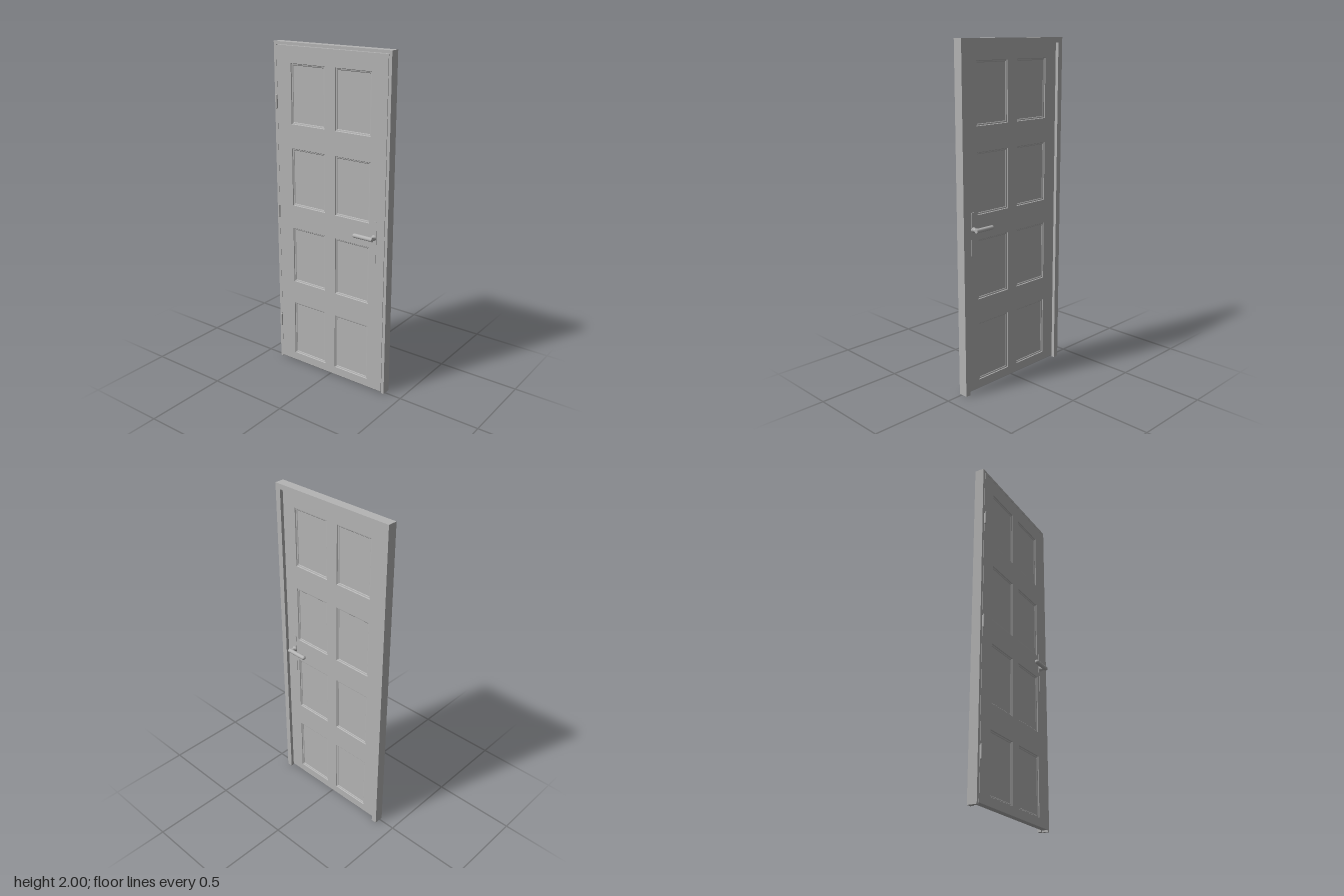
import * as THREE from 'three';

const grey = new THREE.MeshStandardMaterial({ color: 0xb4b4b4 });
grey.name = 'plain grey';

const LEAF_BACK = -0.019, LEAF_FRONT = 0.018, FRAME_FRONT = 0.038;

function add(parent, name, geometry, x = 0, y = 0, z = 0) {
  const mesh = new THREE.Mesh(geometry, grey);
  mesh.name = name;
  mesh.position.set(x, y, z);
  parent.add(mesh);
  return mesh;
}

// Extrudes a shape drawn in the (z, y) plane between two x values
function slab(shape, x0, x1, segments = 12) {
  const g = new THREE.ExtrudeGeometry(shape, { depth: x1 - x0, bevelEnabled: false, curveSegments: segments });
  return g.translate(0, 0, x0).rotateY(Math.PI / 2);
}

// Door surround: two jambs and a head in one outline
function surround(halfOpening, top) {
  const s = new THREE.Shape();
  s.moveTo(-0.395, 0);
  [[-halfOpening, 0], [-halfOpening, top], [halfOpening, top], [halfOpening, 0],
    [0.395, 0], [0.395, 2], [-0.395, 2]].forEach(([u, v]) => s.lineTo(u, v));
  s.closePath();
  return s;
}

// Sunk panel facing +z: moulding rings stepping inward, closed by a flat field
function panelGeometry(w, h) {
  const rings = [[0, 0], [0.003, -0.005], [0.009, -0.006], [0.012, -0.009]].map(([inset, d]) => {
    const a = w / 2 - inset, b = h / 2 - inset;
    return [[-a, -b, d], [a, -b, d], [a, b, d], [-a, b, d]];
  });
  const pos = [];
  const quad = (a, b, c, d) => pos.push(...a, ...b, ...c, ...a, ...c, ...d);
  for (let r = 0; r < rings.length - 1; r++) {
    for (let i = 0; i < 4; i++) {
      const j = (i + 1) % 4;
      quad(rings[r][i], rings[r][j], rings[r + 1][j], rings[r + 1][i]);
    }
  }
  quad(...rings[rings.length - 1]);
  const g = new THREE.BufferGeometry();
  g.setAttribute('position', new THREE.Float32BufferAttribute(pos, 3));
  g.computeVertexNormals();
  return g;
}

// Backplate with rounded ends
function plateShape(w, y0, y1) {
  const r = w / 2, s = new THREE.Shape();
  s.absarc(0, y1 - r, r, 0, Math.PI, false);
  s.absarc(0, y0 + r, r, Math.PI, Math.PI * 2, false);
  s.closePath();
  return s;
}

// Handle set on one face; dir is +1 or -1 along x
function handle(name, face, dir) {
  const g = new THREE.Group();
  g.name = name;
  const z = 0.308, y = 0.97, r = 0.0125, lever = (dir < 0 ? -0.0545 : 0.0535);
  const plateEnd = face + dir * 0.003;
  add(g, 'backplate', slab(plateShape(0.03, 0.81, 1.07), Math.min(face, plateEnd), Math.max(face, plateEnd)), 0, 0, z);
  // Neck with a flared collar, turned around the x axis
  const length = Math.abs(lever - face);
  const profile = [[0.016, 0], [0.016, 0.005], [0.012, 0.008], [0.0105, 0.015], [r, length]]
    .map(([a, b]) => new THREE.Vector2(a, b));
  add(g, 'neck', new THREE.LatheGeometry(profile, 24).rotateZ(-dir * Math.PI / 2), face, y, z);
  // Lever bar with a round tip
  add(g, 'lever', new THREE.CylinderGeometry(r, r, 0.12, 24).rotateX(Math.PI / 2), lever, y, 0.26);
  add(g, 'leverTip', new THREE.SphereGeometry(r, 24, 12), lever, y, 0.2);
  return g;
}

export function createModel() {
  const model = new THREE.Group();
  model.name = 'door';

  // Frame, with a narrower stop in front of the leaf
  const frame = new THREE.Group();
  frame.name = 'frame';
  add(frame, 'frameRebate', slab(surround(0.377, 1.984), -0.018, LEAF_FRONT));
  add(frame, 'frameStop', slab(surround(0.362, 1.97), LEAF_FRONT, FRAME_FRONT));
  model.add(frame);

  // Leaf: stiles and rails pierced for two columns of four panels
  const leaf = new THREE.Group();
  leaf.name = 'leaf';
  const outline = new THREE.Shape();
  outline.moveTo(-0.375, 0.01).lineTo(0.375, 0.01).lineTo(0.375, 1.981).lineTo(-0.375, 1.981).closePath();
  const rows = [[0.06, 0.412], [0.555, 0.905], [1.047, 1.396], [1.538, 1.885]];
  const zMid = 0.155, w = 0.237;
  for (const [y0, y1] of rows) {
    for (const side of [-1, 1]) {
      const a = side * zMid - w / 2, b = side * zMid + w / 2;
      const hole = new THREE.Path();
      hole.moveTo(a, y0).lineTo(a, y1).lineTo(b, y1).lineTo(b, y0).closePath();
      outline.holes.push(hole);
      const g = panelGeometry(w, y1 - y0);
      const y = (y0 + y1) / 2;
      add(leaf, 'frontPanel', g, LEAF_FRONT, y, side * zMid).rotation.y = Math.PI / 2;
      add(leaf, 'backPanel', g, LEAF_BACK, y, side * zMid).rotation.y = -Math.PI / 2;
    }
  }
  add(leaf, 'stilesAndRails', slab(outline, LEAF_BACK, LEAF_FRONT));
  model.add(leaf);

  // Lever handles on both faces
  model.add(handle('frontHandle', LEAF_FRONT, 1), handle('backHandle', LEAF_BACK, -1));

  // Three hinges along the far edge
  for (const y of [0.265, 0.995, 1.66]) {
    const hinge = new THREE.Group();
    hinge.name = 'hinge';
    add(hinge, 'hingeBarrel', new THREE.CylinderGeometry(0.0055, 0.0055, 0.072, 16));
    for (const s of [-1, 1]) add(hinge, 'hingeTip', new THREE.SphereGeometry(0.0055, 16, 8), 0, s * 0.036, 0);
    add(hinge, 'hingeKnuckle', new THREE.BoxGeometry(0.012, 0.07, 0.003), 0.006, 0, 0);
    hinge.position.set(-0.027, y, -0.376);
    model.add(hinge);
  }
  return model;
}
